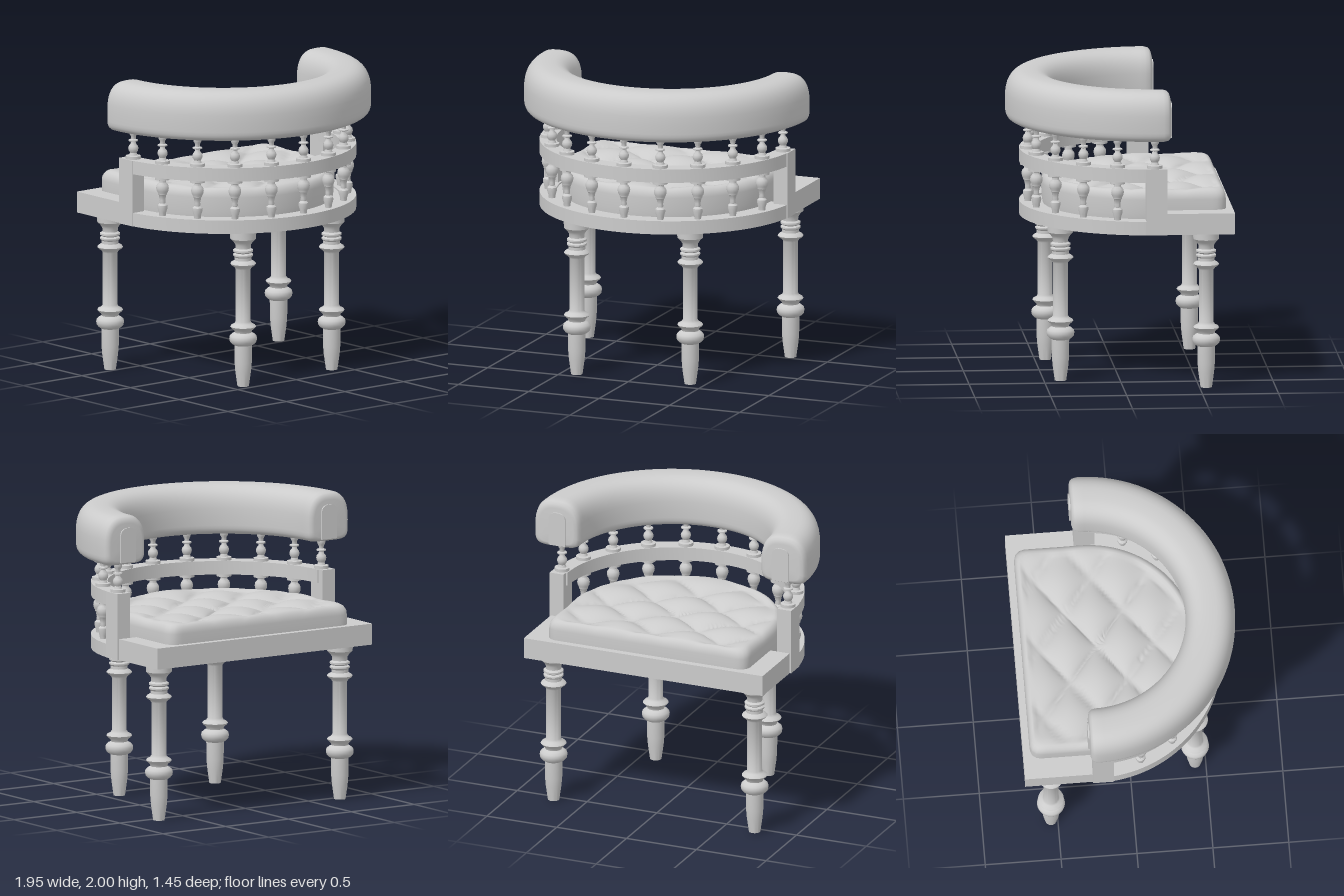
import * as THREE from 'three';
import { toCreasedNormals } from 'three/addons/utils/BufferGeometryUtils.js';

const CZ = -0.235; // centre of the curved back
const R = 0.81;    // radius of the rail centreline

export function createModel() {
  const group = new THREE.Group();
  const mat = new THREE.MeshStandardMaterial({ color: 0xcccccc });

  const add = (name, geo, x = 0, y = 0, z = 0) => {
    const m = new THREE.Mesh(geo, mat);
    m.name = name;
    m.position.set(x, y, z);
    group.add(m);
    return m;
  };
  const box = (name, w, h, d, x, y, z) => add(name, new THREE.BoxGeometry(w, h, d), x, y, z);
  const lathe = (pts, seg) => toCreasedNormals(
    new THREE.LatheGeometry(pts.map(([r, y]) => new THREE.Vector2(r, y)), seg), 0.7);

  // Skin over closed rows of points
  const loft = (rows) => {
    const n = rows[0].length, index = [];
    for (let i = 0; i < rows.length - 1; i++) {
      for (let j = 0; j < n; j++) {
        const k = (j + 1) % n;
        const a = i * n + j, b = i * n + k, c = a + n, d = b + n;
        index.push(a, b, d, a, d, c);
      }
    }
    const g = new THREE.BufferGeometry();
    g.setAttribute('position', new THREE.Float32BufferAttribute(rows.flat(2), 3));
    g.setIndex(index);
    g.computeVertexNormals();
    return g;
  };

  // Flat plan shape (x, z) extruded downwards from a top height
  const slab = (name, shape, top, thickness) => {
    const g = new THREE.ExtrudeGeometry(shape, { depth: thickness, bevelEnabled: false, curveSegments: 48 });
    g.rotateX(Math.PI / 2);
    return add(name, toCreasedNormals(g, 0.5), 0, top, 0);
  };

  // Seat frame: front block, curved rails and the panel between them
  box('seatFront', 1.71, 0.14, 0.445, 0, 1.11, -0.5025);
  const ring = new THREE.Shape();
  ring.absarc(0, CZ, 0.865, 0, Math.PI, false);
  ring.absarc(0, CZ, 0.755, Math.PI, 0, true);
  slab('seatRail', ring, 1.13, 0.09);
  slab('armRail', ring, 1.48, 0.09);
  const half = new THREE.Shape();
  half.moveTo(0.76, -0.29);
  half.absarc(0, CZ, 0.76, 0, Math.PI, false);
  half.lineTo(-0.76, -0.29);
  slab('seatPanel', half, 1.12, 0.07);

  // Tufted cushion
  const plan = new THREE.Shape();
  plan.absarc(0, CZ, 0.717, Math.PI, 0, true);
  plan.lineTo(0.717, -0.6);
  plan.quadraticCurveTo(0.717, -0.68, 0.637, -0.68);
  plan.lineTo(-0.637, -0.68);
  plan.quadraticCurveTo(-0.717, -0.68, -0.717, -0.6);
  plan.lineTo(-0.717, CZ);
  const outline = plan.getSpacedPoints(144);
  outline.pop();
  const mid = -0.12;
  const cushionRow = (s, y, tuft) => outline.map((p) => {
    const x = p.x * s, z = mid + (p.y - mid) * s;
    const u = x / 0.48, v = (z + 0.38) / 0.38;
    const pillow = Math.sqrt(Math.abs(Math.cos(Math.PI * (u + v)) * Math.cos(Math.PI * (u - v))));
    return [x, y - tuft * (1 - pillow), z];
  });
  const cushion = [cushionRow(0.985, 1.1, 0), cushionRow(1, 1.16, 0), cushionRow(1, 1.25, 0)];
  for (let i = 1; i <= 5; i++) {
    const a = (i / 5) * Math.PI / 2;
    cushion.push(cushionRow(0.925 + 0.075 * Math.cos(a), 1.25 + 0.07 * Math.sin(a), 0.012 * i / 5));
  }
  for (let i = 1; i <= 30; i++) {
    const s = 0.925 * (1 - i / 30);
    cushion.push(cushionRow(s, 1.325, 0.012 + 0.05 * (1 - s ** 5)));
  }
  add('seatCushion', loft(cushion));

  // Padded back roll: domed section swept around the back, rounded at both ends
  const section = [];
  for (let i = 0; i < 40; i++) {
    const t = (i / 40) * Math.PI * 2;
    const c = Math.cos(t), s = -Math.sin(t);
    const e = s < 0 ? 0.4 : 0.75;
    section.push([0.163 * Math.sign(c) * Math.abs(c) ** e,
      (s < 0 ? 0.13 : 0.2) * Math.sign(s) * Math.abs(s) ** e]);
  }
  const rollRow = (angle, scale, back) => section.map(([r, h]) => {
    const q = R + r * scale;
    return [q * Math.sin(angle), 1.8 + h * scale, CZ - 0.015 + q * Math.cos(angle) - back];
  });
  const ends = [[0, 0.05], [0.75, 0.05], [0.88, 0.043], [0.96, 0.028], [1, 0]];
  const roll = ends.map(([s, b]) => rollRow(-Math.PI / 2, s, b));
  for (let i = 1; i < 64; i++) roll.push(rollRow(-Math.PI / 2 + (i / 64) * Math.PI, 1, 0));
  roll.push(...ends.reverse().map(([s, b]) => rollRow(Math.PI / 2, s, b)));
  add('backRoll', loft(roll));

  // Arm posts and the arched plates on the roll ends
  const arch = new THREE.Shape();
  arch.moveTo(-0.06, 1.69);
  arch.lineTo(0.06, 1.69);
  arch.lineTo(0.06, 1.875);
  arch.quadraticCurveTo(0.055, 1.92, 0, 1.92);
  arch.quadraticCurveTo(-0.055, 1.92, -0.06, 1.875);
  const plate = new THREE.ExtrudeGeometry(arch, { depth: 0.05, bevelEnabled: false });
  for (const side of [-1, 1]) {
    box('armPost', 0.1, 0.44, 0.135, side * 0.815, 1.26, -0.21);
    add('armEndPlate', plate, side * 0.8, 0, -0.31);
  }

  // Turned spindles between the rails and under the roll
  const upper = lathe([[0, 1.475], [0.05, 1.475], [0.05, 1.5], [0.028, 1.503], [0.022, 1.52], [0.031, 1.535],
    [0.034, 1.55], [0.03, 1.565], [0.018, 1.58], [0.016, 1.592], [0.032, 1.598], [0.032, 1.606], [0.016, 1.612],
    [0.017, 1.63], [0.026, 1.645], [0.028, 1.66], [0.028, 1.69]], 16);
  const lower = lathe([[0.021, 1.12], [0.024, 1.15], [0.033, 1.18], [0.032, 1.2], [0.018, 1.213], [0.02, 1.22],
    [0.018, 1.235], [0.025, 1.268], [0.03, 1.273], [0.03, 1.28], [0.038, 1.295], [0.042, 1.315], [0.038, 1.335],
    [0.024, 1.352], [0.024, 1.365], [0.05, 1.372], [0.05, 1.395]], 16);
  for (let i = -5; i <= 5; i++) {
    const a = THREE.MathUtils.degToRad(17.5 * i);
    const x = R * Math.sin(a), z = CZ + R * Math.cos(a);
    add('upperSpindle', upper, x, 0, z);
    if (Math.abs(i) < 5) add('lowerSpindle', lower, x, 0, z);
  }

  // Turned legs
  const leg = lathe([[0, 0], [0.038, 0], [0.052, 0.1], [0.057, 0.16], [0.058, 0.275], [0.075, 0.285], [0.088, 0.3],
    [0.092, 0.32], [0.088, 0.338], [0.072, 0.352], [0.055, 0.36], [0.06, 0.375], [0.078, 0.39], [0.085, 0.4],
    [0.078, 0.41], [0.058, 0.42], [0.049, 0.435], [0.049, 0.785], [0.06, 0.8], [0.078, 0.812], [0.085, 0.822],
    [0.078, 0.832], [0.056, 0.845], [0.056, 0.865], [0.066, 0.875], [0.066, 0.885], [0.05, 0.893], [0.066, 0.903],
    [0.066, 0.915], [0.05, 0.925], [0.052, 0.95], [0.065, 0.97], [0.085, 0.99], [0.087, 1.045]], 28);
  for (const side of [-1, 1]) {
    add('frontLeg', leg, side * 0.72, 0, -0.545);
    add('rearLeg', leg, side * 0.395, 0, 0.41 - side * 0.02);
  }

  return group;
}
